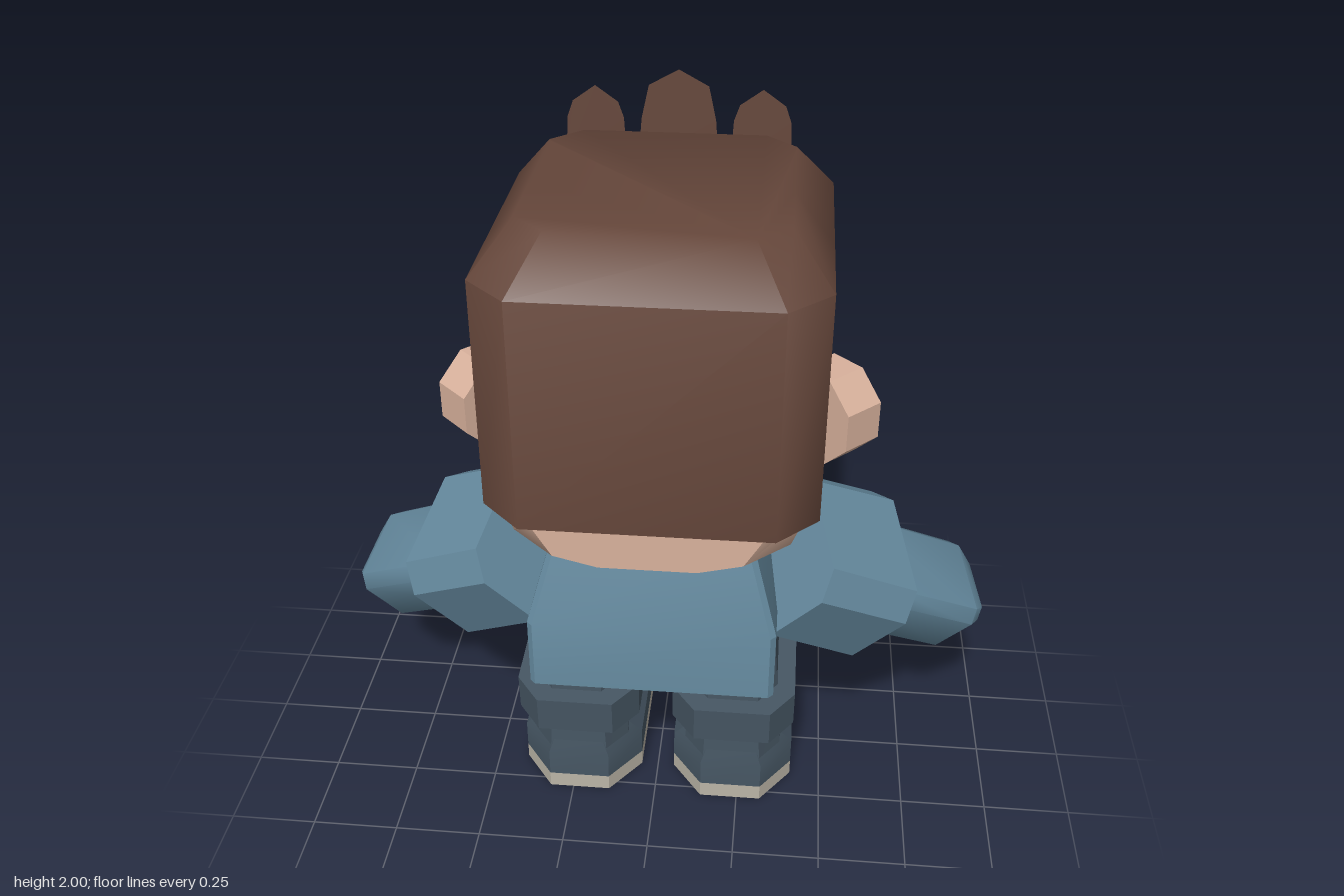
import * as THREE from 'three';
import { toCreasedNormals } from 'three/addons/utils/BufferGeometryUtils.js';

const mat = (name, color, side = THREE.FrontSide) => {
  const m = new THREE.MeshStandardMaterial({ color, side });
  m.name = name;
  return m;
};

// Chamfered rectangle at height y, ordered from +z towards +x.
function ring(y, hx, hz, c, cz = c, oz = 0) {
  const half = [[hx - c, hz], [hx, hz - cz], [hx, cz - hz], [hx - c, -hz]];
  const all = [...half, ...half.map(([x, z]) => [-x, z]).reverse()];
  return all.map(([x, z]) => [x, y, z + oz]);
}

// Joins rings from bottom to top into one surface with end caps.
function loft(rings, crease, capBottom = true) {
  const n = rings[0].length, last = (rings.length - 1) * n, index = [];
  for (let r = 0; r < rings.length - 1; r++) {
    for (let i = 0; i < n; i++) {
      const a = r * n + i, b = r * n + (i + 1) % n;
      index.push(a, b, b + n, a, b + n, a + n);
    }
  }
  for (let i = 1; i < n - 1; i++) {
    index.push(last, last + i, last + i + 1);
    if (capBottom) index.push(0, i + 1, i);
  }
  const g = new THREE.BufferGeometry();
  g.setAttribute('position', new THREE.Float32BufferAttribute(rings.flat(2), 3));
  g.setIndex(index);
  return toCreasedNormals(g, crease);
}

const flatShape = (pts) =>
  new THREE.ShapeGeometry(new THREE.Shape(pts.map(([x, y]) => new THREE.Vector2(x, y))));

export function createModel() {
  const skin = mat('skin', 0xd8b19c);
  const hair = mat('hair', 0x66473b);
  const spikeHair = hair.clone();
  spikeHair.name = 'hair tuft';
  spikeHair.side = THREE.DoubleSide;
  const shirt = mat('shirt blue', 0x668ba0);
  const dark = mat('dark slate', 0x465663);
  const sole = mat('sole beige', 0xbbb5a7);
  const under = mat('undershirt', 0x84503f);

  const model = new THREE.Group();
  const add = (name, geometry, material, parent = model) => {
    const m = new THREE.Mesh(geometry, material);
    m.name = name;
    parent.add(m);
    return m;
  };

  // Head, narrowing at the jaw; the face looks towards -z
  add('head', loft([
    ring(0.96, 0.29, 0.44, 0.16, 0.11), ring(0.99, 0.37, 0.44, 0.12, 0.11),
    ring(1.09, 0.41, 0.44, 0.1, 0.11), ring(1.7, 0.41, 0.44, 0.1, 0.11),
  ], 0.75), skin);

  // Hair shell: half outline from back to front as x, z, lower edge
  const half = [
    [0.33, 0.47, 1.09], [0.44, 0.36, 1.09], [0.44, 0.07, 1.09], [0.44, 0, 1.3],
    [0.44, -0.17, 1.3], [0.44, -0.31, 1.36], [0.44, -0.35, 1.5],
    [0.44, -0.36, 1.57], [0.33, -0.47, 1.57],
  ];
  const outline = [...half, ...half.map(([x, z, y]) => [-x, z, y]).reverse()];
  add('hair', loft([
    outline.map(([x, z, y]) => [x * 0.9, y, z * 0.9]),
    outline.map(([x, z, y]) => [x, y, z]),
    outline.map(([x, z]) => [x, 1.73, z]),
    outline.map(([x, z]) => [x * 0.76, 1.86, z * 0.76]),
  ], 0.9, false), hair);

  // Three flat tufts over the fringe
  for (const [x, top, w] of [[-0.235, 1.95, 0.08], [0, 2, 0.105], [0.235, 1.95, 0.08]]) {
    const t = add('hairTuft', flatShape([
      [-w * 1.1, 1.73], [w * 1.1, 1.73], [w, 1.86], [w * 0.8, top - 0.045],
      [0, top], [-w * 0.8, top - 0.045], [-w, 1.86],
    ]), spikeHair);
    t.position.set(x, 0, -0.471);
  }

  // Painted face
  const face = new THREE.Group();
  face.name = 'face';
  face.position.z = -0.444;
  face.rotation.y = Math.PI;
  model.add(face);
  const eye = flatShape([
    [-0.07, -0.03], [-0.045, 0.05], [0.015, 0.07], [0.06, 0.035],
    [0.07, -0.05], [0.02, -0.04], [-0.03, -0.08], [-0.065, -0.06],
  ]);
  for (const x of [-0.185, 0.185]) add('eye', eye, dark, face).position.set(x, 1.375, 0);
  add('mouth', flatShape([
    [-0.11, 0.04], [-0.06, 0.01], [0.05, 0.015], [0.11, 0.045],
    [0.09, -0.025], [0, -0.06], [-0.085, -0.04],
  ]), dark, face).position.y = 1.19;

  // Torso with hips and open collar
  add('torso', loft([
    ring(0.49, 0.345, 0.3, 0.015, 0.015, 0.075), ring(0.7, 0.345, 0.3, 0.015, 0.015, 0.075),
    ring(0.97, 0.27, 0.27, 0.015, 0.015, 0.045),
  ], 0.3), shirt);
  add('hips', loft([
    ring(0.475, 0.34, 0.25, 0.03, 0.03, 0.055), ring(0.57, 0.34, 0.25, 0.03, 0.03, 0.055),
  ], 0.5), dark);
  const collar = add('collar', flatShape([[-0.15, 0.965], [0, 0.77], [0.15, 0.965]]), under);
  collar.position.z = -0.23;
  collar.rotation.y = Math.PI;

  const armGeo = loft([
    ring(-0.45, 0.145, 0.11, 0.035), ring(-0.05, 0.145, 0.11, 0.035), ring(0.02, 0.105, 0.08, 0.03),
  ], 0.9);
  const sleeveGeo = loft([ring(-0.72, 0.21, 0.175, 0.07), ring(-0.4, 0.22, 0.18, 0.07)], 0.5);
  const earGeo = toCreasedNormals(
    new THREE.CylinderGeometry(0.135, 0.135, 0.12, 8, 1, false, Math.PI / 8), 0.5);

  const legGeo = loft([
    ring(0.14, 0.145, 0.2, 0.06, 0.08, 0.075), ring(0.55, 0.115, 0.19, 0.05, 0.07, 0.075),
  ], 0.5);
  const cuffGeo = loft([
    ring(-0.058, 0.18, 0.245, 0.07, 0.09), ring(0.058, 0.18, 0.245, 0.07, 0.09),
  ], 0.5);
  const shoeGeo = loft([
    ring(0.05, 0.18, 0.285, 0.09, 0.12, -0.005), ring(0.135, 0.18, 0.285, 0.09, 0.12, -0.005),
    ring(0.215, 0.125, 0.2, 0.06, 0.08, 0.07),
  ], 0.5);
  const soleGeo = loft([
    ring(0, 0.18, 0.285, 0.09, 0.12, -0.005), ring(0.05, 0.18, 0.285, 0.09, 0.12, -0.005),
  ], 0.5);

  for (const s of [1, -1]) {
    const side = s > 0 ? 'left' : 'right';

    // Ear, an eight-sided plate turned towards the front
    const ear = add(side + 'Ear', earGeo, skin);
    ear.position.set(s * 0.453, 1.282, 0.112);
    ear.quaternion.setFromUnitVectors(
      new THREE.Vector3(0, 1, 0), new THREE.Vector3(s, 0, -1).normalize());

    // Arm along a slanted axis, with a wide upper sleeve
    const axis = new THREE.Vector3(s * 0.75, -0.495, -0.44).normalize();
    const across = new THREE.Vector3(s * -0.224, 0.436, -0.872);
    across.addScaledVector(axis, -across.dot(axis)).normalize();
    const depth = new THREE.Vector3().crossVectors(across, axis);
    const arm = new THREE.Group();
    arm.name = side + 'Arm';
    arm.quaternion.setFromRotationMatrix(new THREE.Matrix4().makeBasis(across, axis, depth));
    arm.position.set(s * 0.89, 0.46, -0.19);
    model.add(arm);
    add('forearm', armGeo, shirt, arm);
    add('sleeve', sleeveGeo, shirt, arm);

    // Leg, trouser cuff and shoe
    const leg = new THREE.Group();
    leg.name = side + 'Leg';
    leg.position.x = s * 0.23;
    model.add(leg);
    add('trouserLeg', legGeo, dark, leg);
    const cuff = add('trouserCuff', cuffGeo, dark, leg);
    cuff.position.set(0, 0.335, 0.073);
    cuff.rotation.x = 0.06;
    add('shoe', shoeGeo, dark, leg);
    add('sole', soleGeo, sole, leg);
  }
  return model;
}
